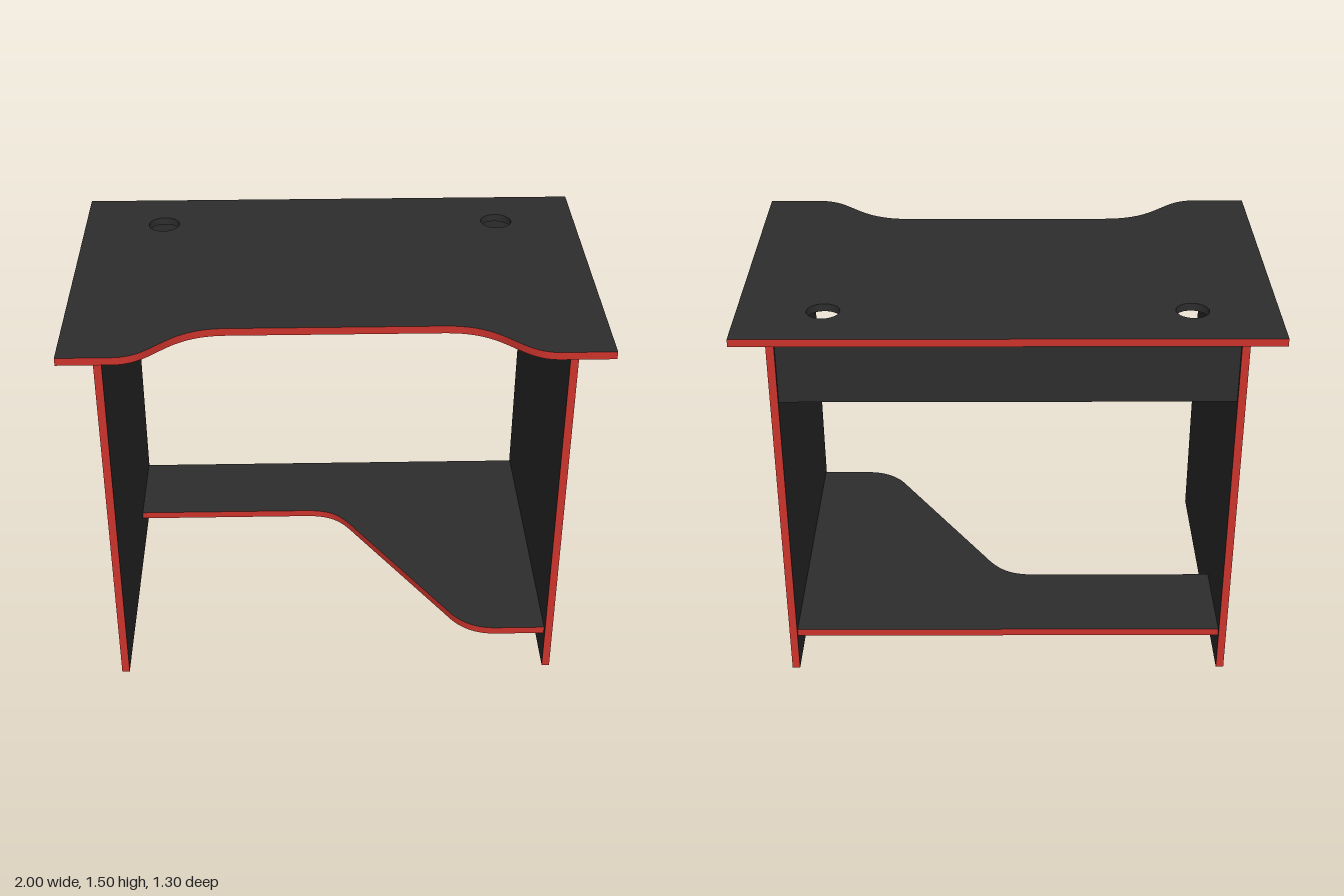
import * as THREE from 'three';
import { toCreasedNormals } from 'three/addons/utils/BufferGeometryUtils.js';

const board = new THREE.MeshStandardMaterial({ color: 0x2d2d2d });
board.name = 'charcoal board';
const edging = new THREE.MeshStandardMaterial({ color: 0xcc332c });
edging.name = 'red edging';

const T = 0.03; // board thickness

// Horizontal board cut from an outline in x and z, with its upper face at topY
function flatBoard(name, shape, topY, isEdging) {
  const geo = new THREE.ExtrudeGeometry(shape, { depth: T, bevelEnabled: false, curveSegments: 24 });
  geo.rotateX(Math.PI / 2).translate(0, topY, 0);
  // group the triangles into board and edging
  const p = geo.attributes.position, n = geo.attributes.normal;
  geo.clearGroups();
  let start = 0, current = -1;
  for (let i = 0; i < p.count; i += 3) {
    const side = Math.abs(n.getY(i)) < 0.5;
    const m = side && isEdging(p.getX(i), p.getZ(i)) ? 1 : 0;
    if (m !== current) {
      if (i > start) geo.addGroup(start, i - start, current);
      start = i;
      current = m;
    }
  }
  geo.addGroup(start, p.count - start, current);
  const mesh = new THREE.Mesh(toCreasedNormals(geo, 0.6), [board, edging]);
  mesh.name = name;
  return mesh;
}

function box(name, w, h, d, x, y, z, material) {
  const mesh = new THREE.Mesh(new THREE.BoxGeometry(w, h, d), material);
  mesh.name = name;
  mesh.position.set(x, y, z);
  return mesh;
}

export function createModel() {
  const desk = new THREE.Group();
  desk.name = 'desk';

  // Desktop with a scooped front and two cable holes
  const top = new THREE.Shape();
  top.moveTo(-1, -0.65);
  top.lineTo(1, -0.65);
  top.lineTo(1, 0.65);
  top.lineTo(0.8, 0.65);
  top.bezierCurveTo(0.64, 0.65, 0.64, 0.45, 0.4, 0.45);
  top.lineTo(-0.4, 0.45);
  top.bezierCurveTo(-0.64, 0.45, -0.64, 0.65, -0.8, 0.65);
  top.lineTo(-1, 0.65);
  top.closePath();
  const holes = [-0.68, 0.68].map((x) => new THREE.Vector2(x, -0.42));
  for (const h of holes) {
    top.holes.push(new THREE.Path().absarc(h.x, h.y, 0.062, 0, Math.PI * 2, true));
  }
  const inHole = (x, z) => holes.some((h) => Math.hypot(x - h.x, z - h.y) < 0.07);
  desk.add(flatBoard('desktop', top, 1.5, (x, z) => !inHole(x, z)));

  // Side panels, edged at the front and back
  const panelMaterials = [board, board, board, board, edging, edging];
  for (const [name, s] of [['leftPanel', 1], ['rightPanel', -1]]) {
    desk.add(box(name, T, 1.47, 1.235, s * 0.855, 0.735, -0.0025, panelMaterials));
  }

  // Back panel under the desktop
  desk.add(box('backPanel', 1.68, 0.25, T, 0, 1.345, -0.59, board));

  // Lower shelf, narrow on one side and deep on the other
  const shelf = new THREE.Shape();
  shelf.moveTo(-0.84, -0.605);
  shelf.lineTo(0.84, -0.605);
  shelf.lineTo(0.84, 0.59);
  shelf.lineTo(0.65, 0.59);
  shelf.bezierCurveTo(0.56, 0.59, 0.5, 0.55, 0.455, 0.47);
  shelf.lineTo(0.1, -0.09);
  shelf.bezierCurveTo(0.04, -0.19, 0, -0.23, -0.12, -0.23);
  shelf.lineTo(-0.84, -0.23);
  shelf.closePath();
  desk.add(flatBoard('lowerShelf', shelf, 0.18, () => true));

  return desk;
}
